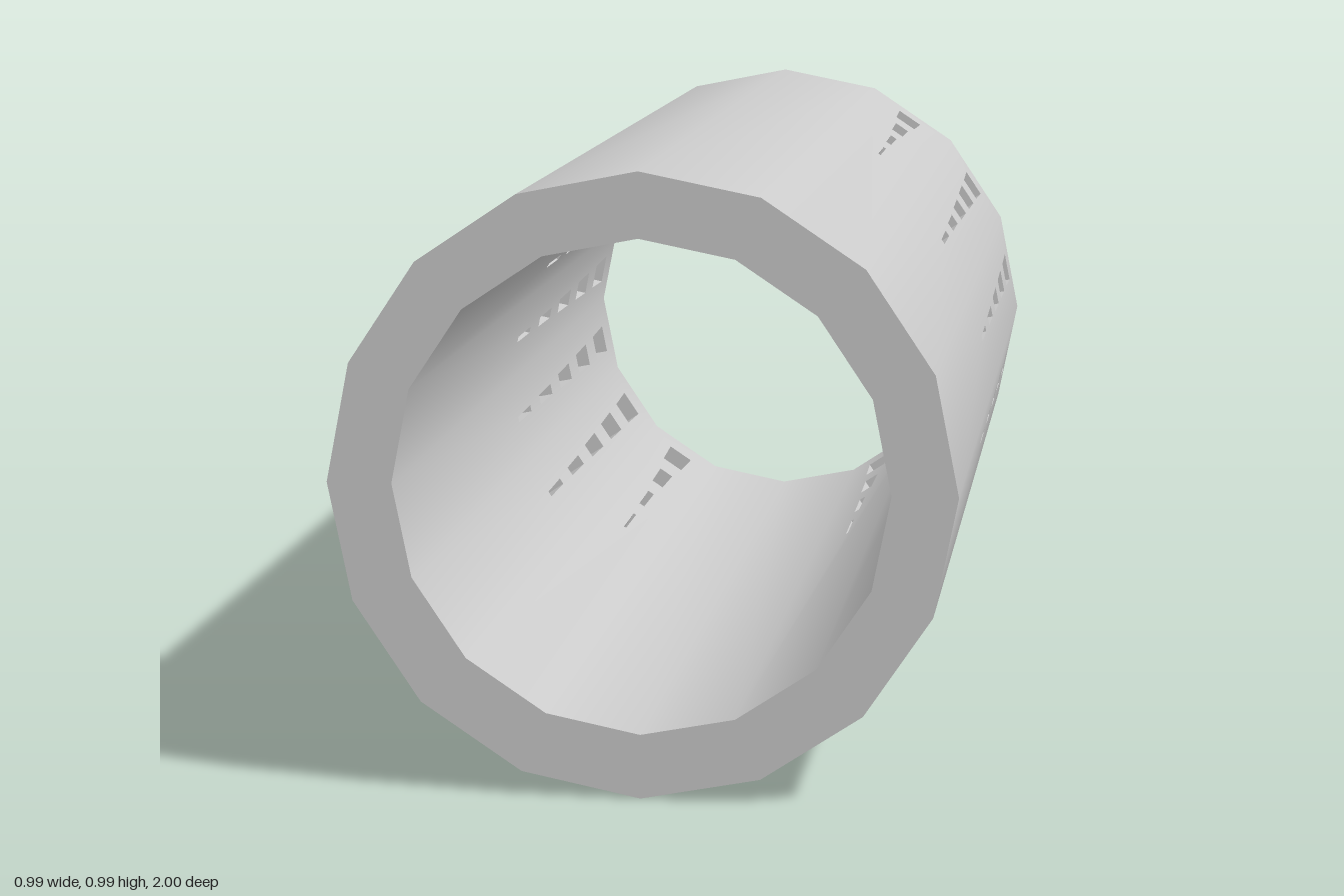
import * as THREE from 'three';
import { mergeGeometries } from 'three/addons/utils/BufferGeometryUtils.js';

const SIDES = 16, R_OUT = 0.493, R_IN = 0.39, HALF_LENGTH = 1;
const STEP = (Math.PI * 2) / SIDES;
const HALF_WIDTH = R_OUT * Math.sin(STEP / 2);
const APO_IN = R_IN * Math.cos(STEP / 2);
const DEPTH = (R_OUT - R_IN) * Math.cos(STEP / 2);

// Slots run from the back towards the middle, getting narrower
const SLOT_Z = [-0.858, -0.65, -0.443, -0.235, -0.022];
const SLOT_LENGTH = 0.12;
const SIDE_WIDTHS = [0.05, 0.04, 0.03, 0.019, 0.011];
const STEEP_WIDTHS = [0.048, 0.027, 0.012, 0.005];

function slotPath(z, width) {
  const back = width * 0.54, front = width * 0.46, h = SLOT_LENGTH / 2;
  return new THREE.Path([
    new THREE.Vector2(-back, z - h), new THREE.Vector2(-front, z + h),
    new THREE.Vector2(front, z + h), new THREE.Vector2(back, z - h),
  ]);
}

// One flat wall panel: x across, y along the tube, z outwards
function wallPanel(angle) {
  const shape = new THREE.Shape([
    new THREE.Vector2(-HALF_WIDTH, -HALF_LENGTH), new THREE.Vector2(HALF_WIDTH, -HALF_LENGTH),
    new THREE.Vector2(HALF_WIDTH, HALF_LENGTH), new THREE.Vector2(-HALF_WIDTH, HALF_LENGTH),
  ]);
  const steep = Math.abs(Math.sin(angle));
  if (steep < 0.9) {
    const widths = steep > 0.7 ? STEEP_WIDTHS : SIDE_WIDTHS;
    widths.forEach((w, i) => shape.holes.push(slotPath(SLOT_Z[i], w)));
  }
  const source = new THREE.ExtrudeGeometry(shape, { depth: DEPTH, bevelEnabled: false });
  const p = source.attributes.position;
  const capCount = source.groups[0].count;
  const onSeam = (i) => Math.abs(Math.abs(p.getX(i)) - HALF_WIDTH) < 1e-5;

  // Keep all triangles except the hidden seams between panels
  const positions = [], caps = [];
  for (let i = 0; i < p.count; i += 3) {
    const isCap = i < capCount;
    const x0 = p.getX(i);
    const seam = [i, i + 1, i + 2].every((j) => onSeam(j) && p.getX(j) * x0 > 0);
    if (!isCap && seam) continue;
    for (let j = i; j < i + 3; j++) {
      const inner = p.getZ(j) < DEPTH / 2;
      // Narrow the inner edge so neighbouring panels meet
      const x = p.getX(j) * (inner && onSeam(j) ? R_IN / R_OUT : 1);
      positions.push(x, p.getY(j), p.getZ(j) + APO_IN);
      caps.push(isCap ? (inner ? -1 : 1) : 0);
    }
  }
  const geo = new THREE.BufferGeometry();
  geo.setAttribute('position', new THREE.Float32BufferAttribute(positions, 3));
  geo.computeVertexNormals();

  // Smooth round normals on the outer and inner skins
  const normal = new THREE.Vector3();
  caps.forEach((sign, i) => {
    if (!sign) return;
    normal.set(positions[i * 3], 0, positions[i * 3 + 2]).normalize().multiplyScalar(sign);
    geo.attributes.normal.setXYZ(i, normal.x, normal.y, normal.z);
  });

  const c = Math.cos(angle), s = Math.sin(angle);
  geo.applyMatrix4(new THREE.Matrix4().makeBasis(
    new THREE.Vector3(-s, c, 0), new THREE.Vector3(0, 0, 1), new THREE.Vector3(c, s, 0)));
  return geo;
}

export function createModel() {
  const group = new THREE.Group();
  group.name = 'slottedTube';
  const panels = [];
  for (let k = 0; k < SIDES; k++) panels.push(wallPanel((k + 0.5) * STEP));
  const tube = new THREE.Mesh(
    mergeGeometries(panels),
    new THREE.MeshStandardMaterial({ color: 0xcccccc }));
  tube.name = 'tubeWall';
  tube.position.y = R_OUT;
  group.add(tube);
  return group;
}
